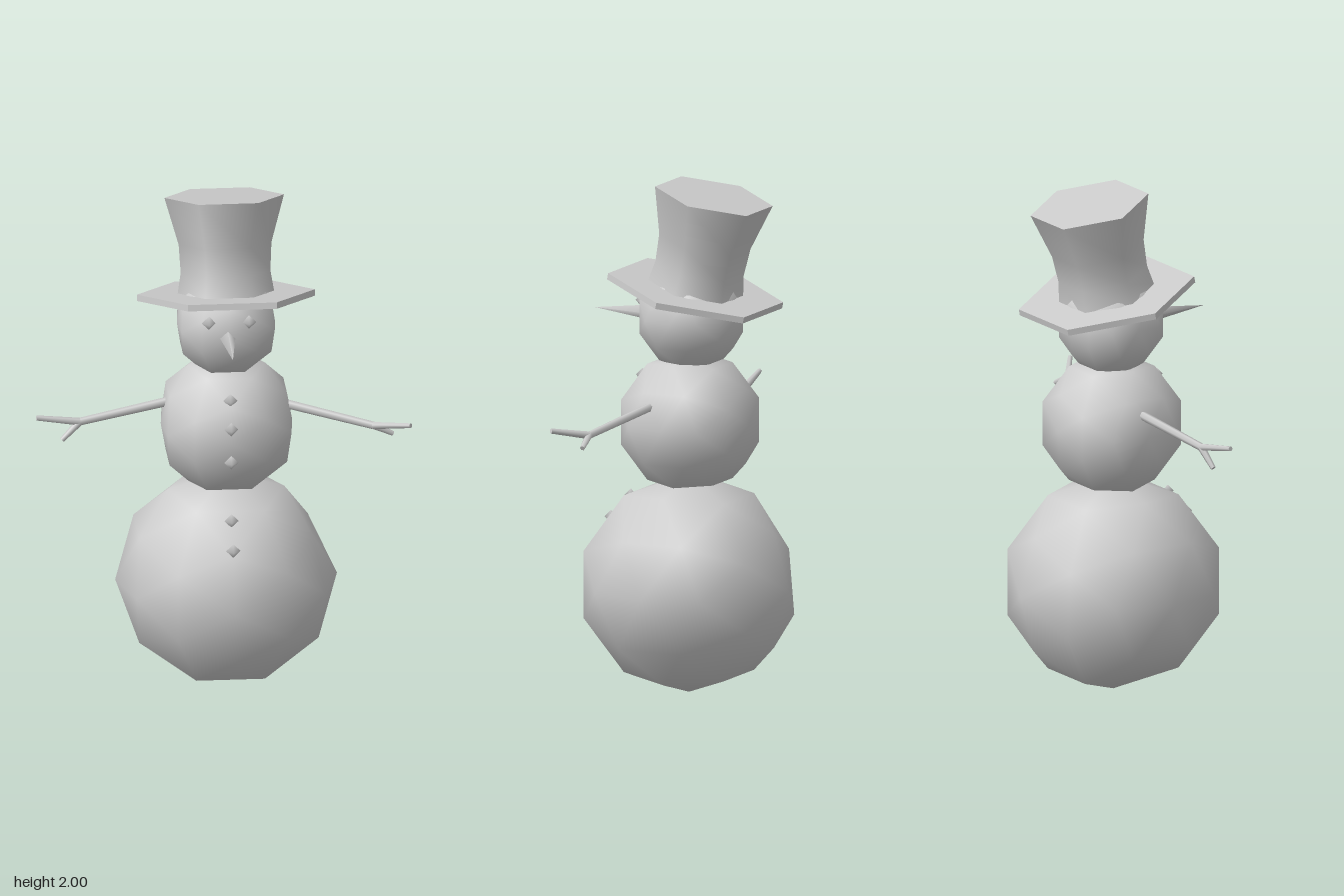
import * as THREE from 'three';

const smooth = new THREE.MeshStandardMaterial({ color: 0xcccccc });
const faceted = new THREE.MeshStandardMaterial({ color: 0xcccccc, flatShading: true });

function add(parent, name, geometry, material, position = [0, 0, 0], rotation = [0, 0, 0]) {
  const mesh = new THREE.Mesh(geometry, material);
  mesh.name = name;
  mesh.position.set(...position);
  mesh.rotation.set(...rotation);
  parent.add(mesh);
  return mesh;
}

// Coarse snowball, flattened beyond the given half extents and pressed in along a few directions
function snowball(r, halfExtents, dents) {
  const geometry = new THREE.IcosahedronGeometry(r, 1);
  const limit = new THREE.Vector3(...halfExtents);
  const lower = limit.clone().negate();
  const pos = geometry.attributes.position;
  const v = new THREE.Vector3();
  for (let i = 0; i < pos.count; i++) {
    v.fromBufferAttribute(pos, i);
    const dent = dents.find(([x, y, z]) => v.dot(new THREE.Vector3(x, y, z)) > 0.97 * r);
    if (dent) v.multiplyScalar(dent[3]);
    v.clamp(lower, limit);
    pos.setXYZ(i, v.x, v.y, v.z);
  }
  return geometry;
}

// Tapered twig between two points
function addTwig(parent, name, from, to, r0, r1) {
  const a = new THREE.Vector3(...from), b = new THREE.Vector3(...to);
  const dir = b.clone().sub(a);
  const mesh = add(parent, name, new THREE.CylinderGeometry(r1, r0, dir.length(), 6), smooth);
  mesh.position.copy(a).add(b).multiplyScalar(0.5);
  mesh.quaternion.setFromUnitVectors(new THREE.Vector3(0, 1, 0), dir.normalize());
}

function addArm(parent, name, shoulder, fork, tips) {
  const arm = new THREE.Group();
  arm.name = name;
  addTwig(arm, 'branch', shoulder, fork, 0.018, 0.015);
  tips.forEach((tip) => addTwig(arm, 'finger', fork, tip, 0.015, 0.01));
  parent.add(arm);
}

function createHat() {
  const hat = new THREE.Group();
  hat.name = 'hat';
  add(hat, 'brim', new THREE.CylinderGeometry(0.345, 0.345, 0.025, 6, 1, false, Math.PI / 2), faceted, [0, -0.0125, 0]);
  // Flared six-sided crown with a flat lid
  const profile = [[0.187, 0], [0.174, 0.08], [0.18, 0.19], [0.232, 0.375]]
    .map(([r, y]) => new THREE.Vector2(r, y));
  add(hat, 'crown', new THREE.LatheGeometry(profile, 6, Math.PI / 2), smooth);
  add(hat, 'crownTop', new THREE.CircleGeometry(0.232, 6), faceted, [0, 0.375, 0], [-Math.PI / 2, 0, 0]);
  hat.position.set(0.022, 1.593, -0.03);
  hat.rotation.x = -0.21;
  return hat;
}

export function createModel() {
  const snowman = new THREE.Group();
  snowman.name = 'snowman';

  // Three uneven snowballs
  add(snowman, 'base', snowball(0.43, [0.43, 0.43, 0.43], [
    [0, 0.526, 0.85, 0.9], [-0.526, -0.85, 0, 0.9],
    [0.809, 0.5, 0.309, 0.94], [0.809, 0.5, -0.309, 0.94], [-0.5, 0.309, -0.809, 0.95],
  ]), smooth, [0.02, 0.43, 0]);
  add(snowman, 'torso', snowball(0.282, [0.255, 0.257, 0.25], [[0, 0.526, 0.85, 0.92]]), smooth, [0.022, 1.067, -0.005]);
  add(snowman, 'head', snowball(0.212, [0.19, 0.195, 0.19], []), smooth, [0.02, 1.48, -0.01]);

  // Face
  [-0.06, 0.095].forEach((x) =>
    add(snowman, 'eye', new THREE.SphereGeometry(0.028, 4, 2), smooth, [x, 1.54, 0.165]));
  add(snowman, 'nose', new THREE.ConeGeometry(0.035, 0.28, 4), smooth, [0.012, 1.478, 0.27], [Math.PI / 2, 0, 0]);

  // Buttons down the front
  [[1.23, 0.2], [1.125, 0.238], [0.99, 0.242], [0.752, 0.25], [0.66, 0.335]].forEach(([y, z]) =>
    add(snowman, 'button', new THREE.SphereGeometry(0.028, 4, 2), smooth, [0.02, y, z]));

  // Forked stick arms
  addArm(snowman, 'leftArm', [0.2, 1.165, 0.04], [0.58, 1.093, 0.155],
    [[0.715, 1.125, 0.253], [0.655, 1.055, 0.147]]);
  addArm(snowman, 'rightArm', [-0.2, 1.155, -0.015], [-0.55, 1.1, 0.035],
    [[-0.72, 1.13, 0.06], [-0.62, 1.03, 0.045]]);

  snowman.add(createHat());
  return snowman;
}
